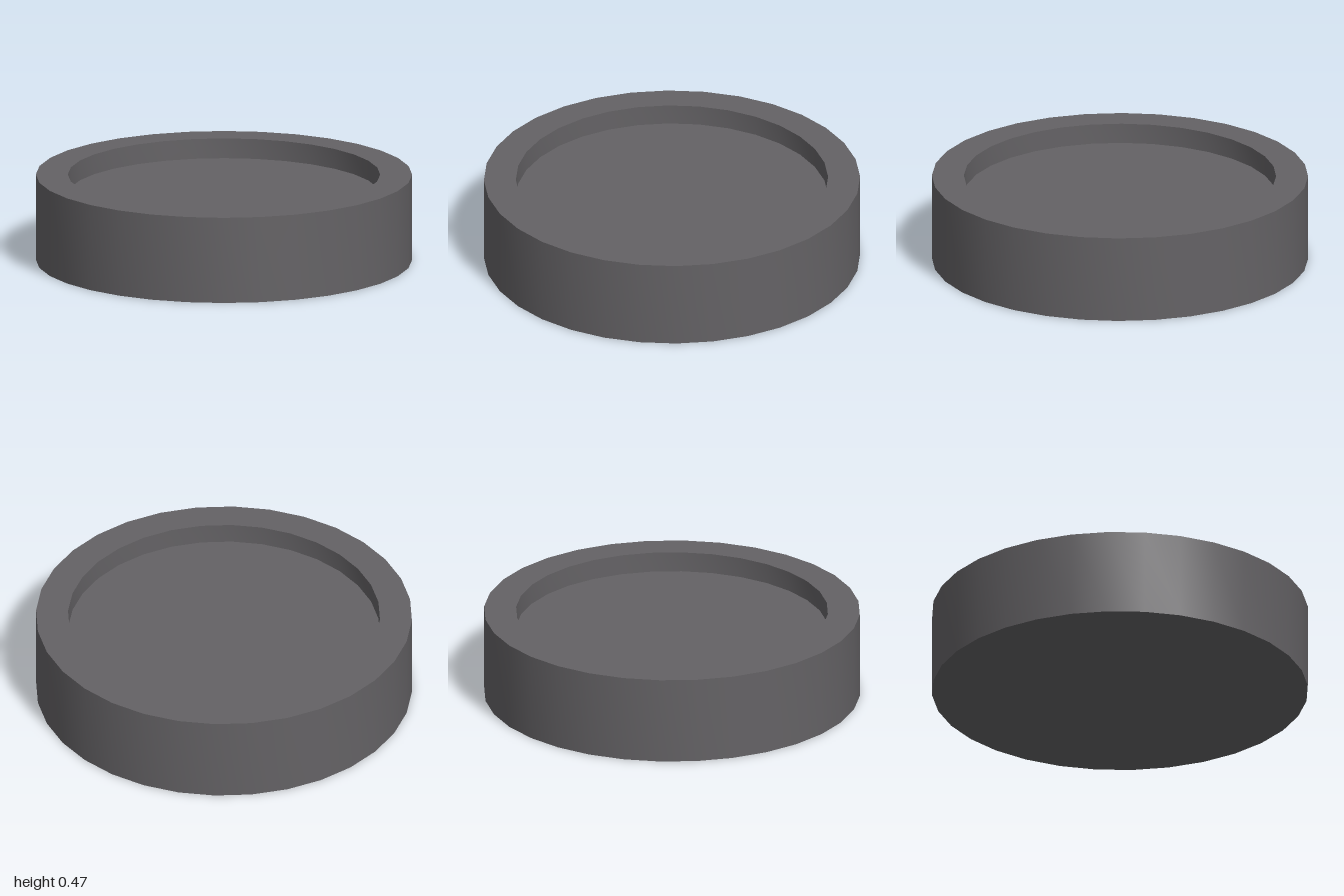
import * as THREE from 'three';
import { toCreasedNormals } from 'three/addons/utils/BufferGeometryUtils.js';

const SIDES = 32;
const RADIUS = 1;
const INNER = 0.83;
const HEIGHT = 0.465;
const FLOOR = 0.357;

export function createModel() {
  const group = new THREE.Group();
  group.name = 'dish';
  const material = new THREE.MeshStandardMaterial({ color: 0x646265 });

  const add = (name, geometry, y = 0, tilt = 0) => {
    const mesh = new THREE.Mesh(geometry, material);
    mesh.name = name;
    mesh.position.y = y;
    mesh.rotation.x = tilt;
    group.add(mesh);
  };

  // Outer wall, flat rim and inner wall, with sharp edges between them
  const profile = [
    [RADIUS, 0], [RADIUS, HEIGHT], [INNER, HEIGHT], [INNER, FLOOR],
  ].map(([x, y]) => new THREE.Vector2(x, y));
  add('rim', toCreasedNormals(new THREE.LatheGeometry(profile, SIDES), 0.6));

  // Sunken floor and flat underside
  add('recessedFloor', new THREE.CircleGeometry(INNER, SIDES), FLOOR, -Math.PI / 2);
  add('underside', new THREE.CircleGeometry(RADIUS, SIDES), 0, Math.PI / 2);

  return group;
}
